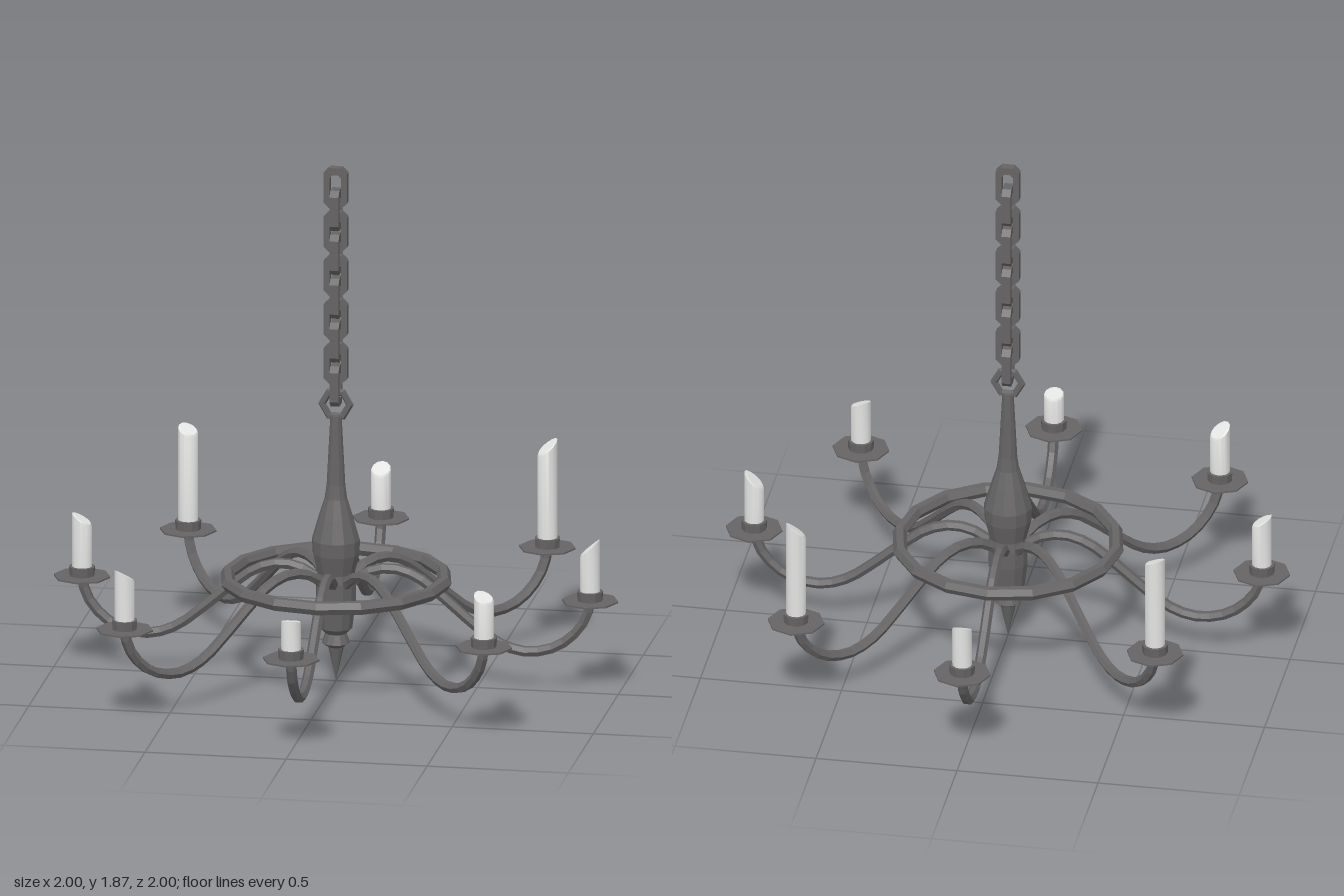
import * as THREE from 'three';
import { toCreasedNormals } from 'three/addons/utils/BufferGeometryUtils.js';

const iron = new THREE.MeshStandardMaterial({ color: 0x656363, flatShading: true });
iron.name = 'iron';
const wax = new THREE.MeshStandardMaterial({ color: 0xe4e4e3 });
wax.name = 'wax';

function add(parent, name, geometry, material, x = 0, y = 0, z = 0) {
  const mesh = new THREE.Mesh(geometry, material);
  mesh.name = name;
  mesh.position.set(x, y, z);
  parent.add(mesh);
  return mesh;
}

const points = (list) => list.map(([x, y]) => new THREE.Vector2(x, y));

// Long eight-cornered chain link with a slot through it
function linkGeometry() {
  const outline = (w, h, c) => points([
    [w - c, -h], [w, -h + c], [w, h - c], [w - c, h],
    [-w + c, h], [-w, h - c], [-w, -h + c], [-w + c, -h],
  ]);
  const shape = new THREE.Shape(outline(0.042, 0.073, 0.02));
  shape.holes.push(new THREE.Path(outline(0.02, 0.047, 0.01)));
  const geometry = new THREE.ExtrudeGeometry(shape, { depth: 0.032, bevelEnabled: false });
  return geometry.translate(0, 0, -0.016);
}

// Candle whose burnt top falls from one side to the other; base at y = 0
function candleGeometry(height, drop, peakAngle) {
  const r = 0.035;
  const rings = [0, 0.6, 0.9, 1].map((k) => new THREE.Vector2(r * k, height)).reverse();
  const geometry = new THREE.LatheGeometry([new THREE.Vector2(r, 0), ...rings], 12);
  const pos = geometry.attributes.position;
  for (let i = 0; i < pos.count; i++) {
    if (pos.getY(i) < height / 2) continue;
    const x = pos.getX(i), z = pos.getZ(i);
    const t = (x * Math.cos(peakAngle) + z * Math.sin(peakAngle)) / r;
    const edge = Math.hypot(x, z) > r * 0.95 ? 0.008 : 0;
    pos.setY(i, height - drop * (1 - t) / 2 - edge * (1 - t) / 2);
  }
  return toCreasedNormals(geometry, 0.6);
}

export function createModel() {
  const model = new THREE.Group();
  model.name = 'chandelier';

  // Turned central column with pointed finial
  add(model, 'column', new THREE.LatheGeometry(points([
    [0, 0.005], [0.028, 0.13], [0.05, 0.145], [0.038, 0.18], [0.058, 0.2],
    [0.07, 0.3], [0.07, 0.37], [0.066, 0.4], [0.083, 0.47], [0.085, 0.52],
    [0.062, 0.6], [0.04, 0.67], [0.033, 0.72], [0.02, 0.97], [0, 0.975],
  ]), 12), iron);

  // Hanging eye and alternating chain
  add(model, 'hangingEye', new THREE.TorusGeometry(0.049, 0.014, 6, 6), iron, 0, 1.01, 0);
  const chain = new THREE.Group();
  chain.name = 'chain';
  model.add(chain);
  const link = linkGeometry();
  for (let i = 0; i < 10; i++) {
    const mesh = add(chain, 'chainLink', link, iron, 0, 1.08 + i * 0.0797, 0);
    if (i % 2 === 0) mesh.rotation.y = Math.PI / 2;
  }

  // Wheel ring resting on the arms
  const wheel = add(model, 'wheelRing', new THREE.TorusGeometry(0.384, 0.025, 6, 16), iron, 0, 0.377, 0);
  wheel.rotation.x = Math.PI / 2;

  // Shared arm parts
  const path = new THREE.CatmullRomCurve3([
    [0.04, 0.35], [0.1, 0.4], [0.19, 0.423], [0.28, 0.4], [0.37, 0.335], [0.47, 0.25],
    [0.57, 0.175], [0.67, 0.145], [0.78, 0.168], [0.86, 0.235], [0.893, 0.3], [0.9, 0.35],
  ].map(([x, y]) => new THREE.Vector3(x, y, 0)));
  const arm = new THREE.TubeGeometry(path, 22, 0.019, 6);
  const plate = new THREE.CylinderGeometry(0.1, 0.1, 0.006, 8);
  const cup = new THREE.CylinderGeometry(0.046, 0.044, 0.038, 10);

  // Candle tops going round from +x towards +z: peak height, drop, peak direction offset
  const candles = [
    [0.565, 0.06, 0], [0.537, 0.03, Math.PI], [0.486, 0.015, 0], [0.56, 0.045, 0],
    [0.568, 0.04, 0], [0.72, 0.03, 0], [0.536, 0.035, 0], [0.733, 0.055, 0.3],
  ];
  candles.forEach(([top, drop, turn], i) => {
    const branch = new THREE.Group();
    branch.name = 'branch';
    branch.rotation.y = -i * Math.PI / 4;
    add(branch, 'arm', arm, iron);
    add(branch, 'dripPlate', plate, iron, 0.9, 0.34, 0);
    add(branch, 'candleCup', cup, iron, 0.9, 0.357, 0);
    add(branch, 'candle', candleGeometry(top - 0.36, drop, turn), wax, 0.9, 0.36, 0);
    model.add(branch);
  });

  return model;
}
